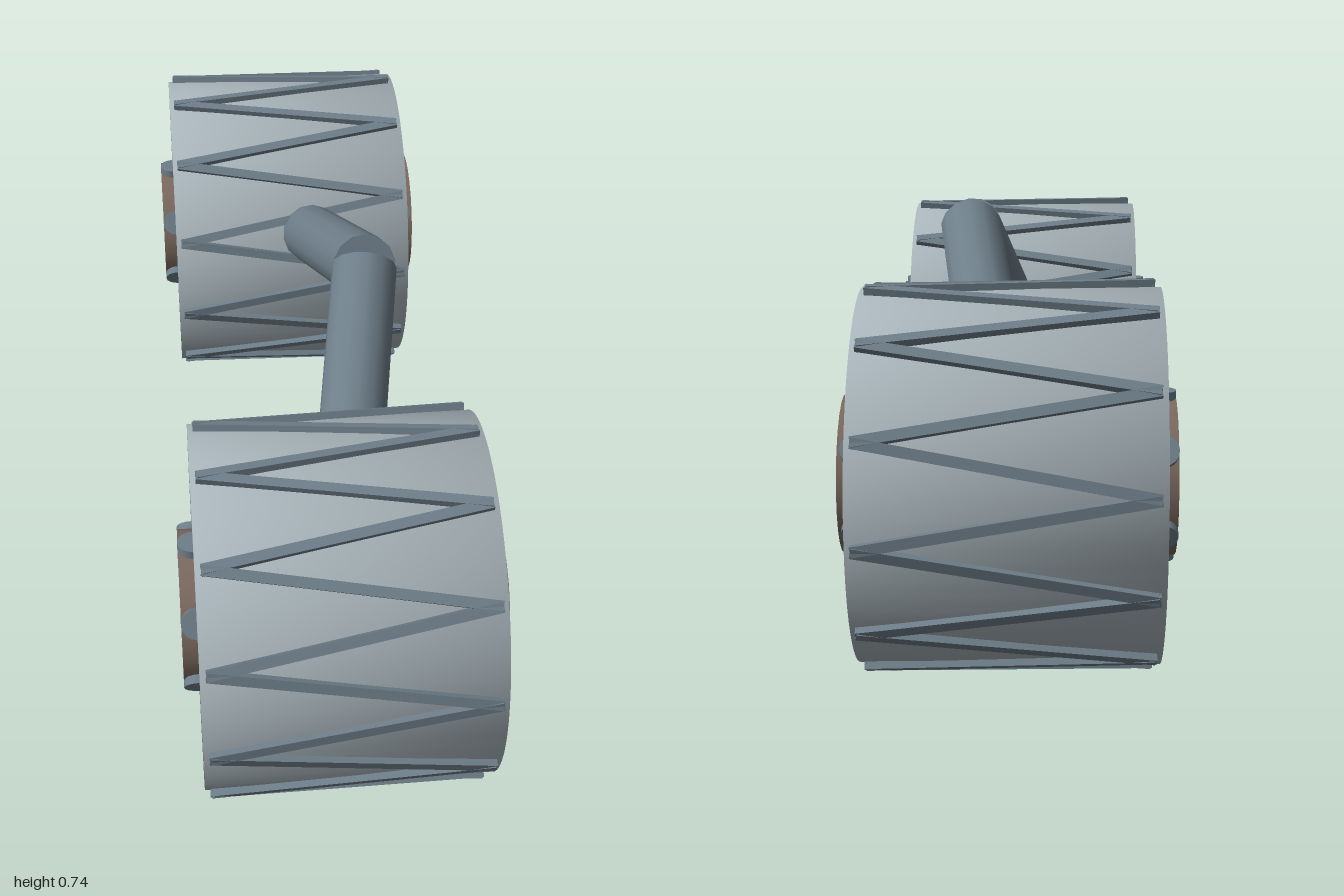
import * as THREE from 'three';

const V = (x, y, z) => new THREE.Vector3(x, y, z);

function material(name, color) {
  const m = new THREE.MeshStandardMaterial({ color });
  m.name = name;
  return m;
}

function add(parent, name, geometry, mat) {
  const mesh = new THREE.Mesh(geometry, mat);
  mesh.name = name;
  parent.add(mesh);
  return mesh;
}

// Capped rod between two points
function rod(a, b, radius, sides) {
  const d = b.clone().sub(a);
  const g = new THREE.CylinderGeometry(radius, radius, d.length(), sides);
  g.applyQuaternion(new THREE.Quaternion().setFromUnitVectors(V(0, 1, 0), d.clone().normalize()));
  const mid = a.clone().add(b).multiplyScalar(0.5);
  return g.translate(mid.x, mid.y, mid.z);
}

// Flat bar between two tread tips, its thickness facing outward
function treadBar(a, b) {
  const d = b.clone().sub(a);
  const mid = a.clone().add(b).multiplyScalar(0.5);
  const along = d.clone().normalize();
  const out = V(0, mid.y, mid.z).normalize();
  const side = along.clone().cross(out);
  const m = new THREE.Matrix4().makeBasis(along, out, side).setPosition(mid);
  return new THREE.BoxGeometry(d.length(), 0.014, 0.018).applyMatrix4(m);
}

export function createModel() {
  const pale = material('pale grey', 0xa8b4ba);
  const steel = material('blue grey', 0x6e7e89);
  const brown = material('brown', 0x7c6a60);
  const model = new THREE.Group();
  model.name = 'axleModel';

  // Hollow tyre shell: flat side walls and straight tread, smooth-shaded across the rims
  const R = 0.325, W = 0.256, HOLE = 0.15;
  const profile = [[HOLE, -W], [R, -W], [R, W], [HOLE, W]];
  const tyreGeo = new THREE.LatheGeometry(profile.map(p => new THREE.Vector2(...p)), 64);
  tyreGeo.rotateZ(-Math.PI / 2);

  function wheel(name, z) {
    const g = new THREE.Group();
    g.name = name;
    g.position.set(-0.003, 0.337, z);
    add(g, 'tyre', tyreGeo, pale);

    // Zigzag tread: 24 bars between alternating tips
    const tread = new THREE.Group();
    tread.name = 'tread';
    g.add(tread);
    const tip = k => {
      const a = THREE.MathUtils.degToRad(7.5 + 15 * k);
      return V(k % 2 ? -0.245 : 0.245, 0.332 * Math.sin(a), 0.332 * Math.cos(a));
    };
    for (let k = 0; k < 24; k++) add(tread, 'treadBar', treadBar(tip(k), tip(k + 1)), steel);

    // Hub disc and crossing spokes on both sides
    for (const s of [-1, 1]) {
      const hub = new THREE.CylinderGeometry(0.1375, 0.1375, 0.05, 24).rotateZ(Math.PI / 2);
      add(g, 'hub', hub.translate(s * 0.261 + 0.003, 0, 0), brown);
      for (let i = 0; i < 3; i++) {
        const a = Math.PI / 2 + i * Math.PI / 3;
        const y = 0.15 * Math.sin(a), zz = 0.15 * Math.cos(a), x = s * 0.2565;
        add(g, 'spoke', rod(V(x, -y, -zz), V(x, y, zz), 0.027, 16), steel);
      }
    }
    model.add(g);
  }
  wheel('frontWheel', 0.663);
  wheel('rearWheel', -0.663);

  // Two arms run from the wheel centres to an offset elbow
  const elbow = V(0.101, 0.678, 0.1);
  add(model, 'frontArm', rod(V(0, 0.337, 0.663), elbow, 0.063, 14), steel);
  add(model, 'rearArm', rod(V(0, 0.337, -0.663), elbow, 0.063, 14), steel);

  return model;
}
